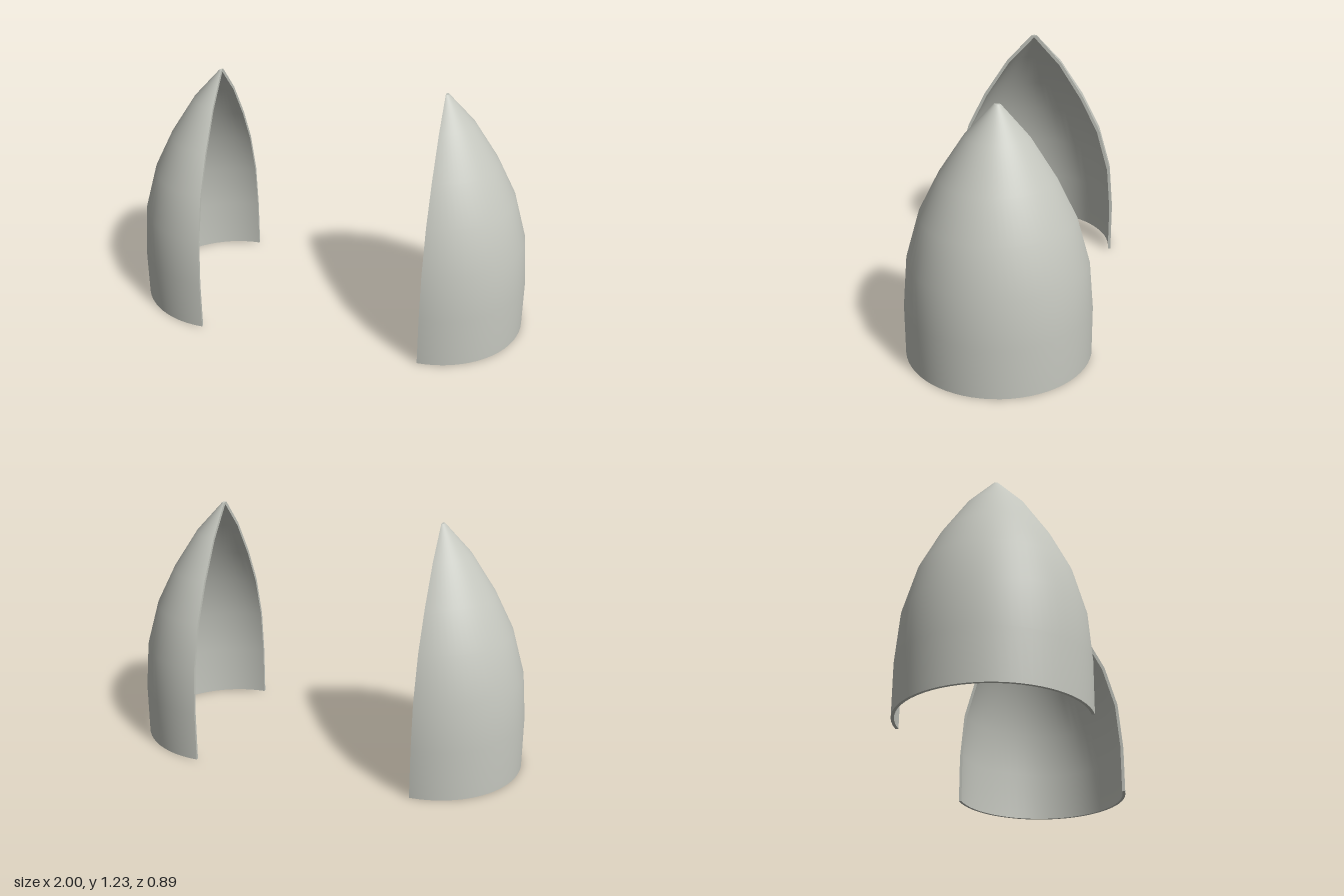
import * as THREE from 'three';

const OFFSET = 0.556; // distance of each cut plane from the centre
const SEGMENTS = 32;

// Radius and height, bottom to top
const OUTER = [[0.444, 0], [0.444, 0.25], [0.424, 0.485], [0.362, 0.705], [0.27, 0.89], [0.147, 1.08], [0.015, 1.225]];
const INNER = [[0.43, 0], [0.43, 0.25], [0.41, 0.48], [0.348, 0.698], [0.257, 0.88], [0.136, 1.068], [0.001, 1.214]];

export function createModel() {
  const grey = new THREE.MeshStandardMaterial({ color: 0xc4c6be, side: THREE.DoubleSide });
  grey.name = 'pale grey';

  const toVectors = (list) => list.map(([r, y]) => new THREE.Vector2(r, y));
  const outer = toVectors(OUTER);
  const inner = toVectors(INNER);

  // Half turn of a profile, bulging towards +x
  const halfTurn = (points) => new THREE.LatheGeometry(points, SEGMENTS, 0, Math.PI);

  // Arch-shaped cut face joining the outer and inner skins
  const mirrored = (points) => points.map((p) => new THREE.Vector2(-p.x, p.y));
  const arch = new THREE.Shape([
    ...outer,
    ...mirrored(outer).reverse(),
    ...mirrored(inner),
    ...[...inner].reverse(),
  ]);
  const cutFace = new THREE.ShapeGeometry(arch).rotateY(-Math.PI / 2);

  const parts = {
    outerSkin: halfTurn(outer),
    innerSkin: halfTurn([...inner].reverse()),
    bottomRim: halfTurn([inner[0], outer[0]]),
    tipCap: halfTurn([outer.at(-1), new THREE.Vector2(0.001, 1.225)]),
    cutFace,
  };

  const model = new THREE.Group();
  model.name = 'splitNoseCone';

  // Two identical half shells, back to back
  for (const [name, side] of [['leftShell', 1], ['rightShell', -1]]) {
    const shell = new THREE.Group();
    shell.name = name;
    for (const [part, geometry] of Object.entries(parts)) {
      const mesh = new THREE.Mesh(geometry, grey);
      mesh.name = part;
      shell.add(mesh);
    }
    shell.position.x = side * OFFSET;
    shell.rotation.y = side > 0 ? 0 : Math.PI;
    model.add(shell);
  }
  return model;
}
